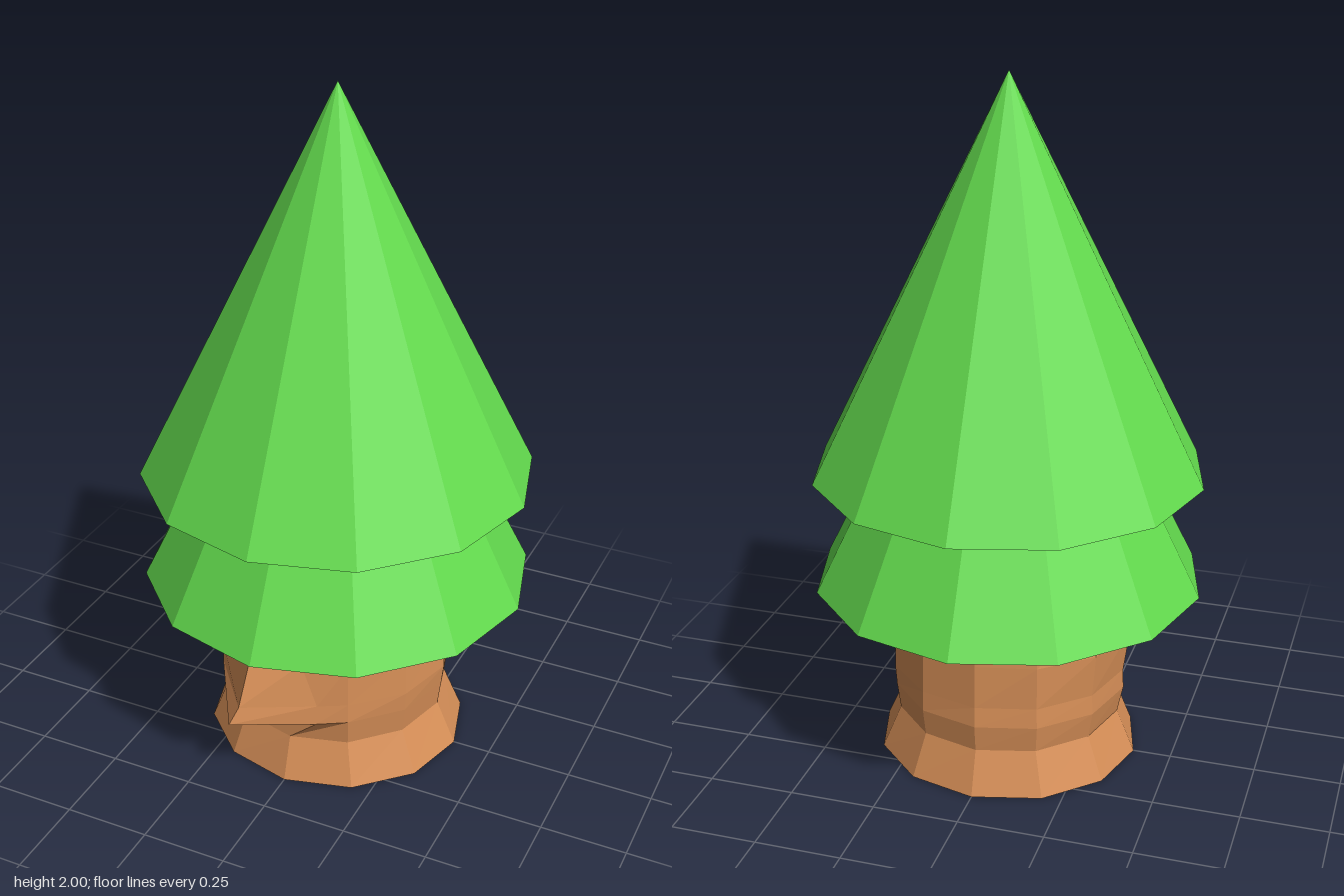
import * as THREE from 'three';

const SIDES = 12;
const green = new THREE.MeshStandardMaterial({ color: 0x64dc4e, flatShading: true });
const brown = new THREE.MeshStandardMaterial({ color: 0xd89058, flatShading: true });

// Foliage tier: closed twelve-sided cone standing on y
function makeTier(name, y) {
  const height = 1.13;
  const geometry = new THREE.ConeGeometry(0.565, height, SIDES);
  geometry.translate(0, y + height / 2, 0);
  const mesh = new THREE.Mesh(geometry, green);
  mesh.name = name;
  return mesh;
}

// Trunk: twelve-sided rings [height, radius, right-hand bulge, left-hand bulge]
function makeTrunk() {
  const rings = [
    [0, 0.388, 0, 0],
    [0.13, 0.33, 0.005, 0],
    [0.21, 0.34, 0.012, 0],
    [0.27, 0.335, 0.015, 0.012],
    [0.4, 0.333, 0.035, 0.007],
    [0.535, 0.333, 0, 0],
  ];
  const positions = [];
  const index = [];
  rings.forEach(([y, radius, bulgeRight, bulgeLeft], row) => {
    for (let k = 0; k < SIDES; k++) {
      const angle = (k / SIDES) * Math.PI * 2;
      const side = Math.sin(angle);
      const r = radius + (side < 0 ? bulgeRight : bulgeLeft) * side * side;
      const p = [side * r, y, Math.cos(angle) * r * (row === 0 ? 0.96 : 1)];
      // Pointed stub: pull out one corner, with a ridge running up from it
      if (k === 11 && row === 2) p.splice(0, 3, -0.13, 0.22, 0.46);
      if (k === 11 && row === 3) p.splice(0, 3, -0.11, 0.27, 0.435);
      if (k === 11 && row === 4) p.splice(0, 3, -0.1, 0.4, 0.38);
      if (k === 11 && row === 5) p.splice(0, 3, -0.12, 0.535, 0.325);
      // Corner beside the stub is spread sideways
      if (k === 0 && (row === 2 || row === 3)) p[0] = 0.09;
      if (k === 0 && row === 4) p[0] = 0.04;
      positions.push(...p);
    }
  });
  for (let row = 0; row < rings.length - 1; row++) {
    for (let k = 0; k < SIDES; k++) {
      const a = row * SIDES + k;
      const b = row * SIDES + ((k + 1) % SIDES);
      index.push(a, b, b + SIDES, a, b + SIDES, a + SIDES);
    }
  }
  // Flat underside
  for (let k = 1; k < SIDES - 1; k++) index.push(0, k + 1, k);

  const indexed = new THREE.BufferGeometry();
  indexed.setAttribute('position', new THREE.Float32BufferAttribute(positions, 3));
  indexed.setIndex(index);
  const geometry = indexed.toNonIndexed();
  geometry.computeVertexNormals();
  const mesh = new THREE.Mesh(geometry, brown);
  mesh.name = 'trunk';
  return mesh;
}

export function createModel() {
  const tree = new THREE.Group();
  tree.name = 'tree';
  tree.add(makeTrunk(), makeTier('lowerFoliage', 0.535), makeTier('upperFoliage', 0.87));
  return tree;
}
